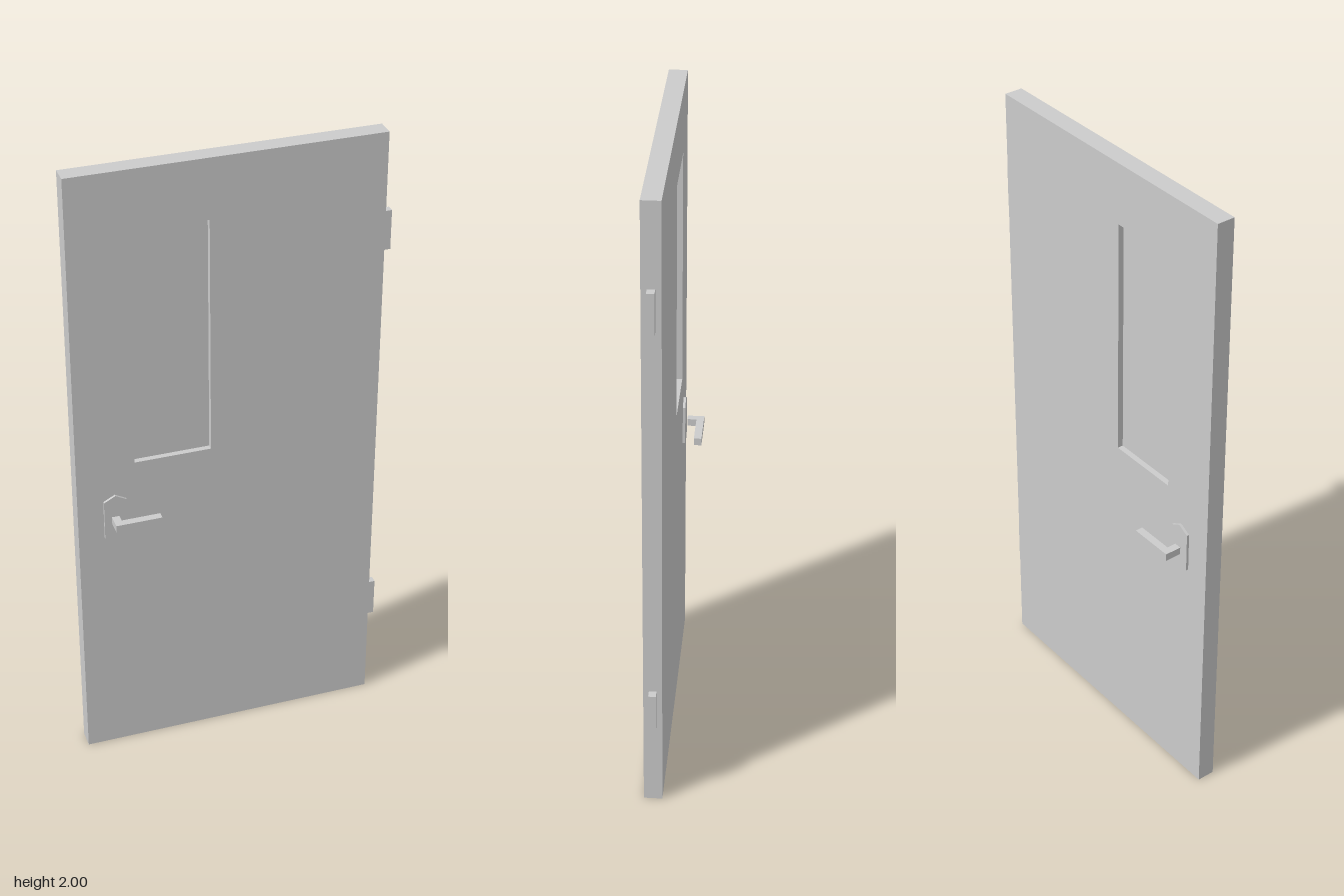
import * as THREE from 'three';

const material = new THREE.MeshStandardMaterial({ color: 0xcccccc, flatShading: true });

export function createModel() {
  const door = new THREE.Group();
  door.name = 'door';

  const add = (name, geometry, parent = door) => {
    const mesh = new THREE.Mesh(geometry, material);
    mesh.name = name;
    parent.add(mesh);
    return mesh;
  };

  // Box given by its minimum and maximum on each axis
  const box = (name, [x0, x1], [y0, y1], [z0, z1], parent) =>
    add(name, new THREE.BoxGeometry(x1 - x0, y1 - y0, z1 - z0), parent)
      .position.set((x0 + x1) / 2, (y0 + y1) / 2, (z0 + z1) / 2);

  const outline = (points) => points.map(([x, y]) => new THREE.Vector2(x, y));
  const rect = (x0, x1, y0, y1) => outline([[x0, y0], [x1, y0], [x1, y1], [x0, y1]]);
  const extrude = (shape, depth) =>
    new THREE.ExtrudeGeometry(shape, { depth, bevelEnabled: false });

  const back = -0.024, front = 0.033;

  // Leaf with a tall window opening
  const leaf = new THREE.Shape(rect(-0.488, 0.462, 0, 2));
  leaf.holes.push(new THREE.Path(rect(-0.308, -0.07, 1.048, 1.81).reverse()));
  add('doorLeaf', extrude(leaf, front - back)).position.z = back;

  // Pane set back from both faces
  box('windowPane', [-0.308, -0.07], [1.048, 1.81], [-0.006, 0.015]);

  // Hinges on the left edge
  for (const y of [0.347, 1.68]) {
    box('hinge', [0.462, 0.488], [y - 0.063, y + 0.063], [-0.007, 0.016]);
  }

  // Six-sided plate and angled lever on each face
  const plate = new THREE.Shape(outline([
    [-0.372, 0.78], [-0.337, 0.799], [-0.337, 0.928],
    [-0.372, 0.947], [-0.408, 0.928], [-0.408, 0.799],
  ]));
  const sides = [
    { name: 'frontHandle', plateZ: front, shank: [0.041, 0.066], lever: [0.066, 0.09] },
    { name: 'backHandle', plateZ: back - 0.008, shank: [-0.066, -0.037], lever: [-0.09, -0.066] },
  ];
  for (const { name, plateZ, shank, lever } of sides) {
    const handle = new THREE.Group();
    handle.name = name;
    door.add(handle);
    add('handlePlate', extrude(plate, 0.008), handle).position.z = plateZ;
    box('handleShank', [-0.385, -0.362], [0.849, 0.873], shank, handle);
    box('handleLever', [-0.385, -0.242], [0.849, 0.873], lever, handle);
  }

  return door;
}
